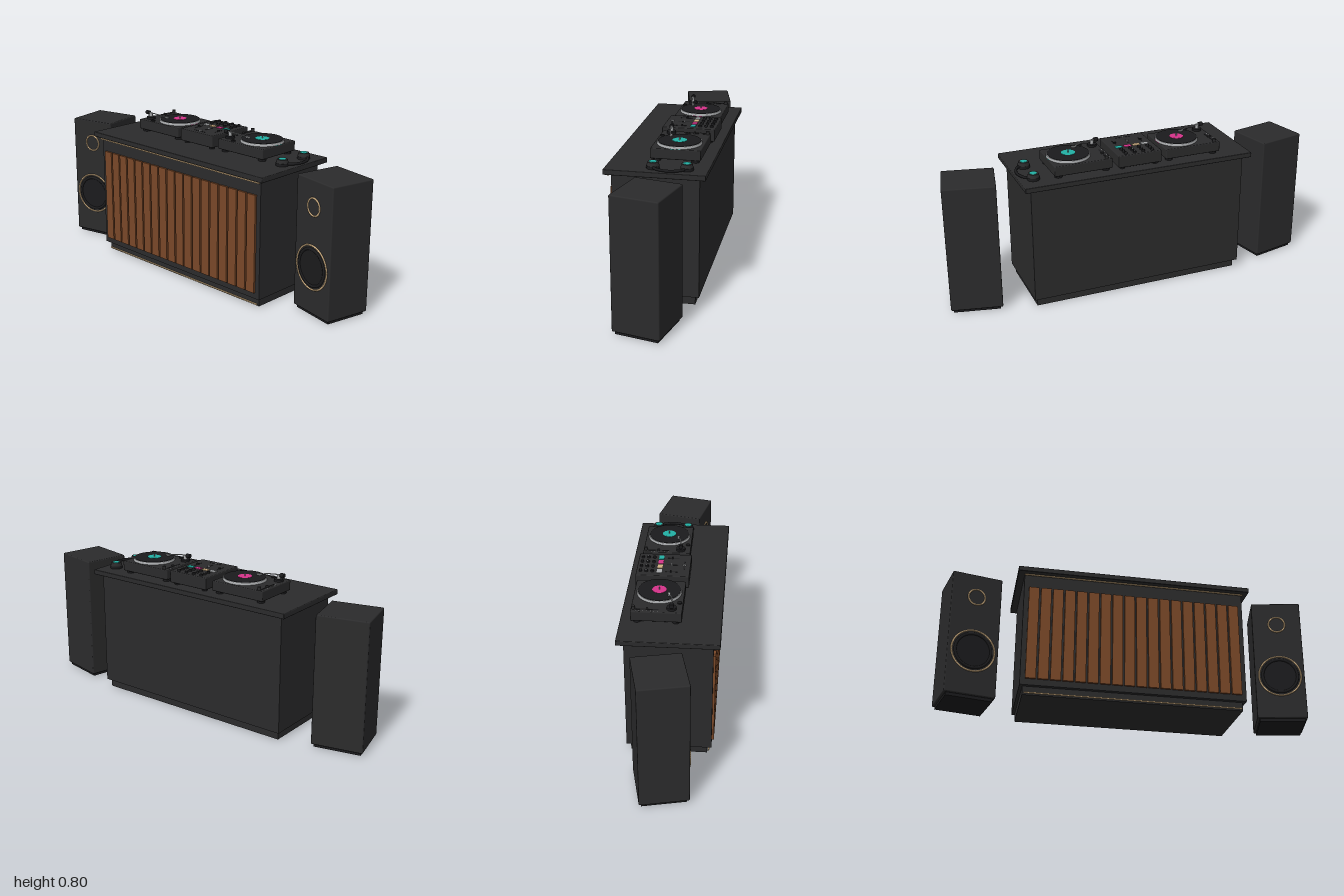
import * as THREE from 'three';
import { RoundedBoxGeometry } from 'three/addons/geometries/RoundedBoxGeometry.js';

const paint = (name, color) => {
  const m = new THREE.MeshStandardMaterial({ color });
  m.name = name;
  return m;
};

export function createModel() {
  const charcoal = paint('charcoal', 0x2b2b2c);
  const black = paint('black', 0x1b1b1d);
  const wood = paint('walnut', 0x7a4828);
  const brass = paint('brass', 0xd0b083);
  const silver = paint('silver', 0xa9abad);
  const pink = paint('pink', 0xd6338a);
  const teal = paint('teal', 0x22b0a4);

  const mesh = (parent, name, geo, mat, x, y, z) => {
    const m = new THREE.Mesh(geo, mat);
    m.name = name;
    m.position.set(x, y, z);
    parent.add(m);
    return m;
  };
  // Boxes and discs are placed by the centre of their underside
  const box = (parent, name, mat, w, h, d, x, y, z) =>
    mesh(parent, name, new THREE.BoxGeometry(w, h, d), mat, x, y + h / 2, z);
  const rbox = (parent, name, mat, w, h, d, x, y, z, r = 0.005) =>
    mesh(parent, name, new RoundedBoxGeometry(w, h, d, 2, r), mat, x, y + h / 2, z);
  const disc = (parent, name, mat, r, h, x, y, z, n = 32, rTop = r) =>
    mesh(parent, name, new THREE.CylinderGeometry(rTop, r, h, n), mat, x, y + h / 2, z);
  const tube = (parent, name, mat, pts, r) =>
    mesh(parent, name, new THREE.TubeGeometry(
      new THREE.CatmullRomCurve3(pts.map(p => new THREE.Vector3(...p))), 32, r, 8), mat, 0, 0, 0);
  const group = (parent, name, x = 0, y = 0, z = 0) => {
    const g = new THREE.Group();
    g.name = name;
    g.position.set(x, y, z);
    parent.add(g);
    return g;
  };

  const model = new THREE.Group();
  model.name = 'djBooth';

  // Desk with slatted front
  const desk = group(model, 'desk');
  box(desk, 'plinth', charcoal, 1.134, 0.045, 0.388, 0, 0, 0);
  box(desk, 'cabinet', charcoal, 1.166, 0.62, 0.43, 0, 0.045, 0);
  rbox(desk, 'deskTop', charcoal, 1.236, 0.027, 0.497, 0, 0.664, 0, 0.004);
  box(desk, 'upperTrim', brass, 1.17, 0.006, 0.008, 0, 0.651, 0.229);
  box(desk, 'lowerTrim', brass, 1.12, 0.006, 0.006, 0, 0.007, 0.201);
  for (let i = 0; i < 18; i++) {
    box(desk, 'slat', wood, 0.053, 0.508, 0.011, (i - 8.5) * 0.0625, 0.078, 0.2205);
  }

  // Speakers, turned towards the middle
  for (const side of [-1, 1]) {
    const s = group(model, side > 0 ? 'leftSpeaker' : 'rightSpeaker', side * 0.8435, 0, -0.017);
    s.rotation.y = -side * 0.22;
    rbox(s, 'speakerCabinet', charcoal, 0.265, 0.675, 0.245, 0, 0.016, 0, 0.006);
    box(s, 'speakerBase', black, 0.24, 0.018, 0.22, 0, 0, 0);
    for (const [name, y, r] of [['woofer', 0.255, 0.112], ['tweeter', 0.56, 0.044]]) {
      const d = group(s, name, 0, y, 0.1225);
      const face = new THREE.CircleGeometry(r, 48);
      mesh(d, name + 'Plate', face, charcoal, 0, 0, 0.002);
      mesh(d, name + 'Ring', new THREE.TorusGeometry(r, 0.0045, 8, 64), brass, 0, 0, 0.002);
      if (name === 'woofer') {
        mesh(d, 'surround', new THREE.TorusGeometry(0.093, 0.008, 8, 48), black, 0, 0, 0.001);
        mesh(d, 'cone', new THREE.CircleGeometry(0.086, 48), black, 0, 0, 0.003);
      }
    }
  }

  // Turntables
  const turntable = (name, x, accent) => {
    const t = group(model, name, x, 0, -0.07);
    rbox(t, 'turntableBody', charcoal, 0.306, 0.053, 0.25, 0, 0.704, 0);
    for (const fx of [-0.125, 0.125]) for (const fz of [-0.095, 0.095]) {
      disc(t, 'foot', black, 0.02, 0.015, fx, 0.69, fz, 20);
    }
    const px = 0.04;
    disc(t, 'platter', silver, 0.112, 0.012, px, 0.757, 0, 64, 0.109);
    disc(t, 'record', black, 0.106, 0.003, px, 0.768, 0, 64);
    disc(t, 'recordLabel', accent, 0.036, 0.002, px, 0.7705, 0, 40);
    disc(t, 'spindle', silver, 0.003, 0.014, px, 0.772, 0, 10);
    // Tone arm
    disc(t, 'armBase', black, 0.024, 0.012, -0.115, 0.757, 0.073, 24);
    disc(t, 'armPost', silver, 0.009, 0.024, -0.115, 0.766, 0.073, 16);
    tube(t, 'armTube', silver, [[-0.14, 0.79, 0.075], [-0.1, 0.789, 0.073], [-0.05, 0.785, 0.066], [-0.018, 0.779, 0.056]], 0.0028);
    const weight = mesh(t, 'counterweight', new THREE.CylinderGeometry(0.011, 0.011, 0.022, 20), black, -0.136, 0.789, 0.075);
    weight.rotation.z = Math.PI / 2;
    box(t, 'headshell', silver, 0.024, 0.006, 0.012, -0.01, 0.774, 0.053);
    // Controls
    box(t, 'accentStrip', accent, 0.005, 0.002, 0.05, 0.149, 0.7565, 0);
    box(t, 'pitchSlot', black, 0.008, 0.002, 0.11, -0.128, 0.7565, -0.045);
    box(t, 'pitchFader', charcoal, 0.016, 0.008, 0.009, -0.128, 0.757, -0.045);
    for (let i = 0; i < 7; i++) {
      box(t, 'pitchTick', silver, 0.005, 0.001, 0.002, -0.143, 0.7567, -0.1 + i * 0.018);
    }
    disc(t, 'startButton', black, 0.011, 0.006, -0.06, 0.757, 0.108, 20);
    disc(t, 'strobeLamp', charcoal, 0.009, 0.016, -0.125, 0.757, -0.112, 20);
  };
  turntable('rightTurntable', -0.303, pink);
  turntable('leftTurntable', 0.297, teal);

  // Mixer
  const mixer = group(model, 'mixer', -0.002, 0, -0.07);
  rbox(mixer, 'mixerBody', charcoal, 0.234, 0.064, 0.274, 0, 0.702, 0);
  for (const fx of [-0.09, 0.09]) for (const fz of [-0.11, 0.11]) {
    disc(mixer, 'mixerFoot', black, 0.014, 0.013, fx, 0.69, fz, 16);
  }
  [silver, brass, pink, teal].forEach((mat, i) => {
    const x = (i - 1.5) * 0.048;
    box(mixer, 'pad', mat, 0.037, 0.004, 0.026, x, 0.765, -0.018);
    for (const z of [-0.115, -0.085, -0.055]) {
      disc(mixer, 'knob', black, 0.009, 0.01, x, 0.765, z, 16, 0.008);
      box(mixer, 'knobPointer', silver, 0.0025, 0.001, 0.006, x, 0.7747, z - 0.003);
    }
  });
  for (const x of [-0.072, 0, 0.072]) {
    box(mixer, 'faderSlot', black, 0.005, 0.002, 0.06, x, 0.765, 0.044);
    box(mixer, 'faderCap', x ? black : silver, 0.013, 0.007, 0.007, x, 0.766, 0.04);
  }
  box(mixer, 'crossfaderSlot', black, 0.08, 0.002, 0.005, 0, 0.765, 0.105);
  box(mixer, 'crossfaderCap', silver, 0.007, 0.007, 0.015, 0, 0.766, 0.105);

  // Headphones lying on the desk
  const phones = group(model, 'headphones');
  for (const z of [-0.147, 0.018]) {
    disc(phones, 'earPad', black, 0.032, 0.014, 0.546, 0.691, z, 32);
    disc(phones, 'earCup', charcoal, 0.031, 0.018, 0.546, 0.705, z, 32, 0.026);
    disc(phones, 'earCupCap', teal, 0.018, 0.002, 0.546, 0.7225, z, 32);
  }
  tube(phones, 'headband', black, [[0.56, 0.702, -0.145], [0.588, 0.701, -0.128], [0.607, 0.7, -0.065],
    [0.588, 0.701, -0.002], [0.56, 0.702, 0.016]], 0.007);

  return model;
}
